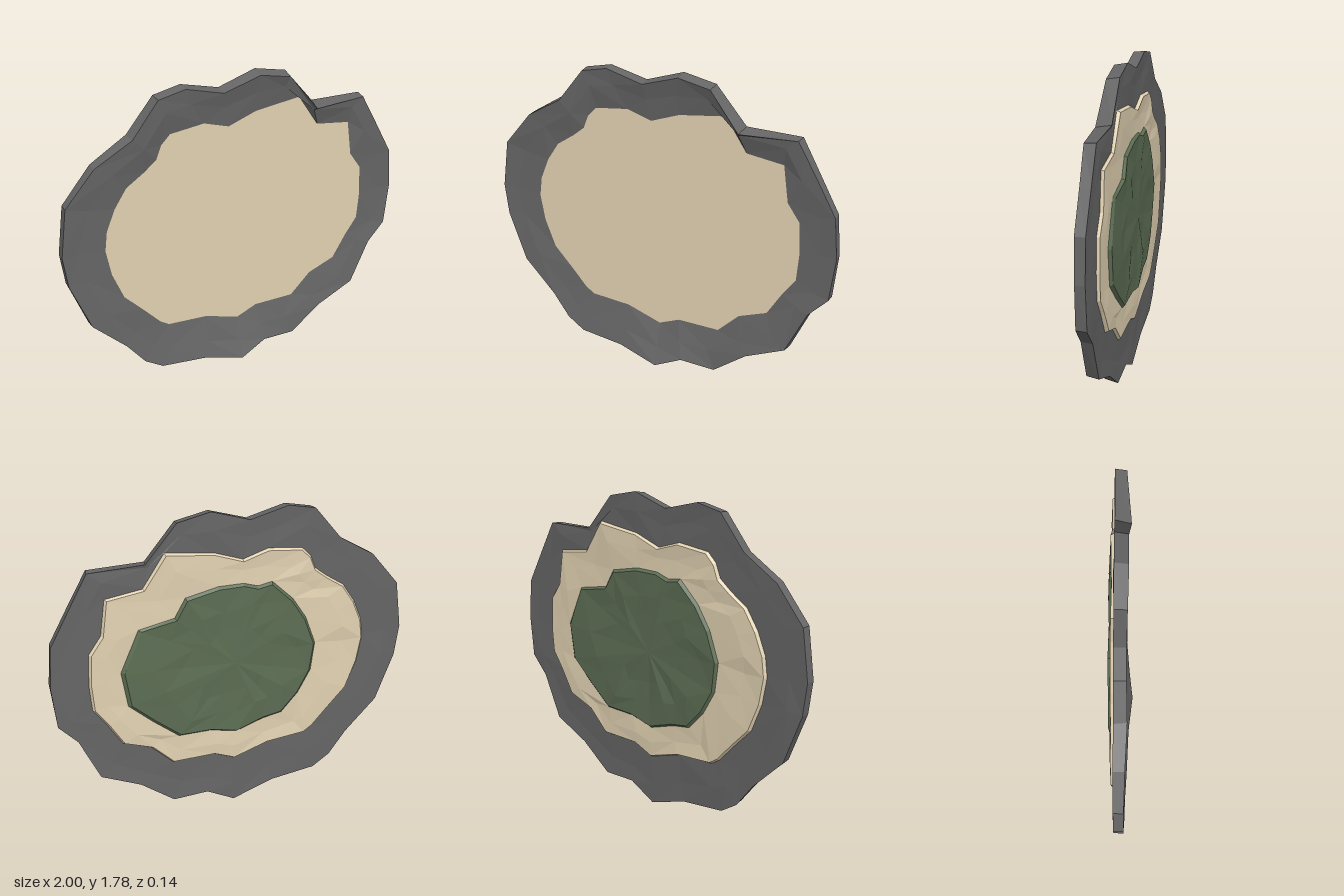
import * as THREE from 'three';

const CY = 0.92;
let seed = 7;
const rand = () => {
  seed = (seed * 16807) % 2147483647;
  return seed / 2147483647 - 0.5;
};

// Rock rim: x, y, and depth of the front edge
const ROCK = [
  0.12, 1.78, 0.035, -0.09, 1.715, 0.03, -0.3, 1.77, 0.025, -0.45, 1.74, 0.025, -0.6, 1.56, 0.03,
  -0.8, 1.44, 0.02, -0.96, 1.25, 0.015, -1, 0.98, 0.015, -0.98, 0.8, 0.015, -0.88, 0.52, 0.02,
  -0.7, 0.33, 0.025, -0.6, 0.19, 0.03, -0.5, 0.12, 0.035, -0.24, 0.085, 0.045, 0, 0, 0.07,
  0.16, 0.085, 0.05, 0.36, 0.075, 0.035, 0.55, 0.22, 0.035, 0.77, 0.32, 0.03, 0.88, 0.57, 0.025,
  0.98, 0.68, 0.02, 1, 0.92, 0.015, 0.98, 1.15, 0.018, 0.87, 1.35, 0.02, 0.77, 1.53, 0.025,
  0.47, 1.54, 0.05, 0.3, 1.74, 0.035];
// Sand outline: x, y
const SAND = [
  0.37, 1.59, 0.11, 1.56, -0.05, 1.505, -0.19, 1.55, -0.38, 1.53, -0.43, 1.48, -0.46, 1.405,
  -0.53, 1.35, -0.63, 1.285, -0.7, 1.18, -0.75, 1.06, -0.765, 0.95, -0.74, 0.8, -0.68, 0.64,
  -0.58, 0.53, -0.48, 0.415, -0.43, 0.38, -0.2, 0.36, 0, 0.29, 0.12, 0.34, 0.36, 0.335,
  0.48, 0.455, 0.64, 0.515, 0.72, 0.65, 0.79, 0.75, 0.8, 0.9, 0.79, 1.08, 0.72, 1.18,
  0.69, 1.38, 0.49, 1.41];
// Grass outline: x, y
const GRASS = [
  0.27, 1.335, 0.09, 1.375, -0.05, 1.375, -0.13, 1.35, -0.21, 1.365, -0.33, 1.25, -0.41, 1.127,
  -0.47, 0.964, -0.45, 0.795, -0.377, 0.66, -0.28, 0.55, -0.17, 0.53, -0.01, 0.475, 0.14, 0.51,
  0.325, 0.51, 0.47, 0.63, 0.6, 0.75, 0.63, 0.955, 0.526, 1.19, 0.33, 1.23];

const angle = (p) => Math.atan2(p.y - CY, p.x);
const cross = (a, b) => a.x * (b.y - CY) - (a.y - CY) * b.x;

// Loop of points, sorted by angle; fn gives each point's scale about the centre and its depth
function loop(list, stride, fn) {
  const out = [];
  for (let i = 0; i < list.length; i += stride) {
    const [scale, z] = fn(list[i + 2]);
    out.push(new THREE.Vector3(list[i] * scale, CY + (list[i + 1] - CY) * scale, z));
  }
  return out.sort((a, b) => angle(a) - angle(b));
}

// Wall joining a back loop to a front loop, facing outwards
function wall(tris, back, front) {
  back.forEach((b, i) => {
    const j = (i + 1) % back.length;
    tris.push(b, back[j], front[j], b, front[j], front[i]);
  });
}

// Fan from a centre point; side is +1 to face the front, -1 to face the back
function fan(tris, centre, rim, side) {
  rim.forEach((p, i) => {
    const q = rim[(i + 1) % rim.length];
    tris.push(centre, ...(side > 0 ? [p, q] : [q, p]));
  });
}

// Band between two loops, stepping round both by angle
function band(tris, outer, inner, side) {
  const n = outer.length, m = inner.length;
  const at = (l, i) => angle(l[i % l.length]) + (i >= l.length ? 2 * Math.PI : 0);
  for (let i = 0, j = 0; i < n || j < m;) {
    const a = outer[i % n], b = inner[j % m];
    const stepOuter = i < n && (j >= m || at(outer, i + 1) <= at(inner, j + 1));
    const c = stepOuter ? outer[++i % n] : inner[++j % m];
    if (side > 0) tris.push(a, c, b);
    else tris.push(a, b, c);
  }
}

// Point where the line from the centre through p meets a loop
function meet(p, rim) {
  for (let i = 0; i < rim.length; i++) {
    const a = rim[i], b = rim[(i + 1) % rim.length];
    if (cross(a, p) >= 0 && cross(p, b) >= 0) {
      const s = cross(a, b) / (cross(p, b) - cross(p, a));
      return new THREE.Vector3(p.x * s, CY + (p.y - CY) * s, a.z);
    }
  }
  return p.clone();
}

// Band with an uneven middle loop
function roughBand(tris, outer, inner, side, bump) {
  const middle = outer.map((p) => {
    const m = p.clone().lerp(meet(p, inner), 0.42 + rand() * 0.1);
    m.z += rand() * bump;
    return m;
  });
  band(tris, outer, middle, side);
  band(tris, middle, inner, side);
}

function part(name, tris, material) {
  const geometry = new THREE.BufferGeometry().setFromPoints(tris);
  geometry.computeVertexNormals();
  const mesh = new THREE.Mesh(geometry, material);
  mesh.name = name;
  return mesh;
}

function flat(name, color) {
  const m = new THREE.MeshStandardMaterial({ color, flatShading: true });
  m.name = name;
  return m;
}

export function createModel() {
  seed = 7;
  const group = new THREE.Group();
  group.name = 'island';

  // Outlines at each depth
  const rockBack = loop(ROCK, 3, () => [1, -0.037]);
  const rockFront = loop(ROCK, 3, (z) => [1 - 0.8 * (z - 0.015), z]);
  const sandFront = loop(SAND, 2, () => [1, 0]);
  const sandSeam = loop(SAND, 2, () => [1, -0.037]);
  const sandBack = loop(SAND, 2, () => [0.985, -0.053 + rand() * 0.006]);
  const grassSeam = loop(GRASS, 2, () => [1, -0.052]);
  const grassBack = loop(GRASS, 2, () => [0.97, -0.066 + rand() * 0.008]);

  // Rock ring: outer wall, front band and back band
  const rock = [];
  wall(rock, rockBack, rockFront);
  roughBand(rock, rockFront, sandFront, 1, 0.014);
  roughBand(rock, rockBack, sandSeam, -1, 0.01);
  group.add(part('rockRing', rock, flat('rock grey', 0x666666)));

  // Sand layer: flat front face, sides and rough back band
  const sand = [];
  fan(sand, new THREE.Vector3(0, CY, 0), sandFront, 1);
  wall(sand, sandBack, sandSeam);
  roughBand(sand, sandBack, grassSeam, -1, 0.012);
  group.add(part('sandLayer', sand, flat('sand', 0xe3d3b3)));

  // Grass patch: sloped sides and a gently uneven back face
  const grass = [];
  wall(grass, grassBack, grassSeam);
  let rim = grassBack;
  for (const scale of [0.72, 0.42]) {
    const next = loop(GRASS, 2, () => [scale + rand() * 0.12, -0.067 + rand() * 0.012]);
    band(grass, rim, next, -1);
    rim = next;
  }
  fan(grass, new THREE.Vector3(0, CY, -0.068), rim, -1);
  group.add(part('grassPatch', grass, flat('grass green', 0x5d6e54)));

  return group;
}
